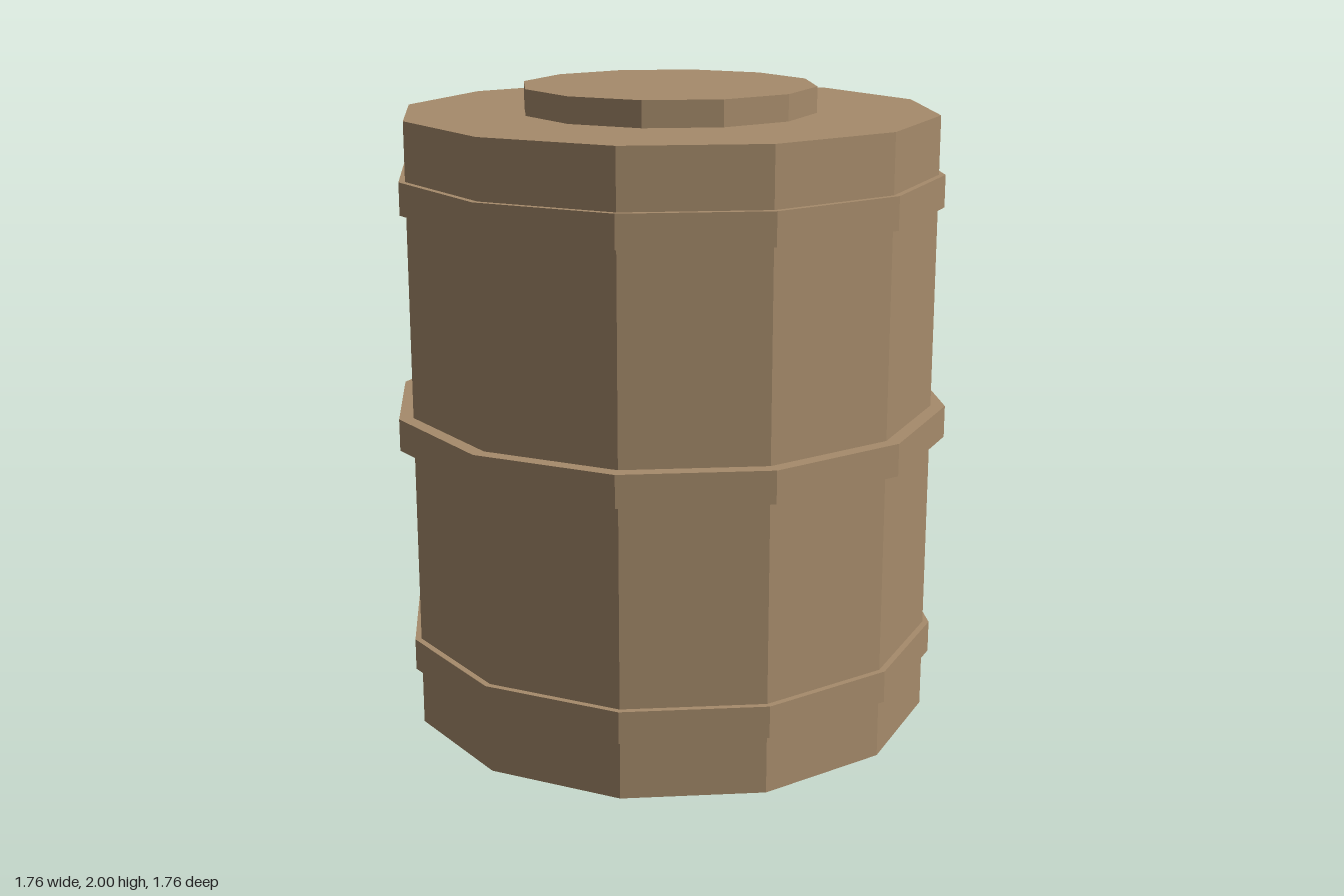
import * as THREE from 'three';

const SIDES = 12;

export function createModel() {
  const group = new THREE.Group();
  group.name = 'barrel';

  const wood = new THREE.MeshStandardMaterial({ color: 0xa68b6b, flatShading: true });
  wood.name = 'tan wood';

  // Twelve-sided drum between two heights
  const drum = (name, radius, bottom, top) => {
    const geometry = new THREE.CylinderGeometry(radius, radius, top - bottom, SIDES);
    const mesh = new THREE.Mesh(geometry, wood);
    mesh.name = name;
    mesh.position.y = (bottom + top) / 2;
    group.add(mesh);
  };

  drum('body', 0.835, 0, 1.92);
  drum('lid', 0.459, 1.92, 2);

  // Raised hoops, the middle one slightly wider
  drum('lowerHoop', 0.855, 0.184, 0.284);
  drum('middleHoop', 0.88, 0.911, 1.011);
  drum('upperHoop', 0.855, 1.64, 1.74);

  return group;
}
